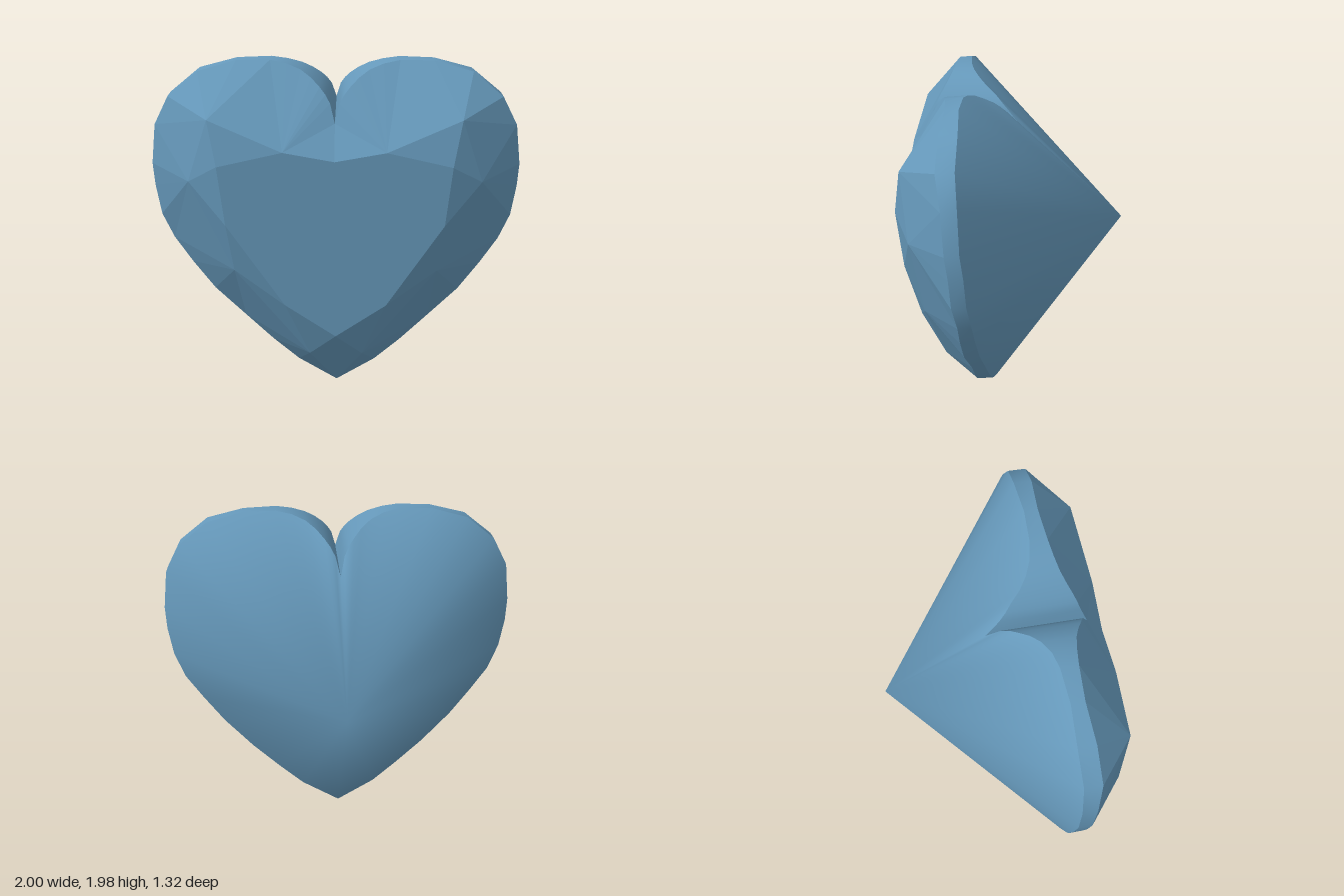
import * as THREE from 'three';
import { mergeGeometries, mergeVertices } from 'three/addons/utils/BufferGeometryUtils.js';

// Girdle outline of one half, cleft to tip: [x, y, z of front edge, z of back edge]
const girdle = [
  [0, 1.69, 0.313, -0.229], [0.025, 1.785, 0.27, -0.16], [0.05, 1.828, 0.25, -0.125],
  [0.08, 1.863, 0.23, -0.095], [0.125, 1.905, 0.2, -0.045], [0.18, 1.941, 0.172, -0.005],
  [0.255, 1.969, 0.152, 0.028], [0.343, 1.985, 0.138, 0.045], [0.525, 1.98, 0.127, 0.055],
  [0.73, 1.925, 0.145, 0.05], [0.894, 1.794, 0.16, 0.065], [0.98, 1.634, 0.145, 0.065],
  [1.01, 1.413, 0.15, 0.075], [1.006, 1.282, 0.145, 0.07], [0.982, 1.11, 0.15, 0.075],
  [0.925, 0.96, 0.14, 0.068], [0.828, 0.81, 0.15, 0.07], [0.708, 0.64, 0.155, 0.07],
  [0.538, 0.45, 0.14, 0.063], [0.378, 0.29, 0.15, 0.065], [0.228, 0.155, 0.155, 0.06],
  [0, 0.013, 0.163, 0.06],
];
const front = girdle.map(([x, y, z]) => [x, y, z]);
const back = girdle.map(([x, y, , z]) => [x, y, z]);
const last = girdle.length - 1;

// Table corners and the facet nodes halfway down the crown
const T = [[0, 1.52], [0.27, 1.57], [0.615, 1.49], [0.585, 1.16], [0.28, 0.677], [0, 0.477]]
  .map(([x, y]) => [x, y, 0.43]);
const N = [[0.66, 1.726, 0.372], [0.78, 1.383, 0.355], [0.56, 0.86, 0.36], [0.15, 0.31, 0.34]];
const apex = [0, 1.1, -0.773];

// Builds one half from points and triangles; side -1 mirrors it
function half(points, faces, side) {
  const g = new THREE.BufferGeometry();
  g.setAttribute('position', new THREE.Float32BufferAttribute(
    points.flatMap(([x, y, z]) => [side * x, y, z]), 3));
  g.setIndex(faces.flatMap(([a, b, c]) => (side > 0 ? [a, b, c] : [a, c, b])));
  // Tilt of the stone
  return g.translate(-0.045, 0, 0).rotateX(0.082).rotateY(0.18);
}

// Unshared triangles of the crown
function crownFaces() {
  const tris = [];
  // Table
  for (let i = 1; i < 5; i++) tris.push([T[0], T[i + 1], T[i]]);
  // Facets between the table and the nodes
  tris.push([T[0], T[1], front[0]], [T[1], T[2], N[0]], [T[2], N[1], N[0]], [T[2], T[3], N[1]],
    [T[3], N[2], N[1]], [T[3], T[4], N[2]], [T[4], N[3], N[2]], [T[4], T[5], N[3]],
    [T[5], front[last], N[3]]);
  // Fans from the nodes out to the girdle, and the facets joining neighbouring fans
  const fans = [[T[1], 0, 7], [N[0], 7, 11], [N[1], 11, 15], [N[2], 15, 18], [N[3], 18, last]];
  fans.forEach(([p, from, to], k) => {
    for (let i = from; i < to; i++) tris.push([p, front[i + 1], front[i]]);
    if (k < fans.length - 1) tris.push([p, fans[k + 1][0], front[to]]);
  });
  return tris;
}

export function createModel() {
  const group = new THREE.Group();
  group.name = 'heartGem';
  const smooth = new THREE.MeshStandardMaterial({ color: 0x6699bb });
  const flat = new THREE.MeshStandardMaterial({ color: 0x6699bb, flatShading: true });
  const add = (name, geometry, material) => {
    geometry.computeVertexNormals();
    const mesh = new THREE.Mesh(geometry, material);
    mesh.name = name;
    group.add(mesh);
  };

  const tris = crownFaces();
  const bandFaces = [];
  const coneFaces = [];
  const n = girdle.length;
  for (let i = 0; i < last; i++) {
    bandFaces.push([i, i + 1, n + i], [i + 1, n + i + 1, n + i]);
    coneFaces.push([i, i + 1, n]);
  }

  for (const [side, label] of [[1, 'left'], [-1, 'right']]) {
    // Faceted crown
    add(label + 'Crown', half(tris.flat(), tris.map((_, i) => [3 * i, 3 * i + 1, 3 * i + 2]), side), flat);
    // Girdle band, including the wall of the cleft
    add(label + 'Girdle', half([...front, ...back], bandFaces, side), smooth);
  }
  // Smooth pavilion running to the rear point, halves welded along the middle
  const cones = [1, -1].map((side) => half([...back, apex], coneFaces, side));
  add('pavilion', mergeVertices(mergeGeometries(cones)), smooth);
  return group;
}
